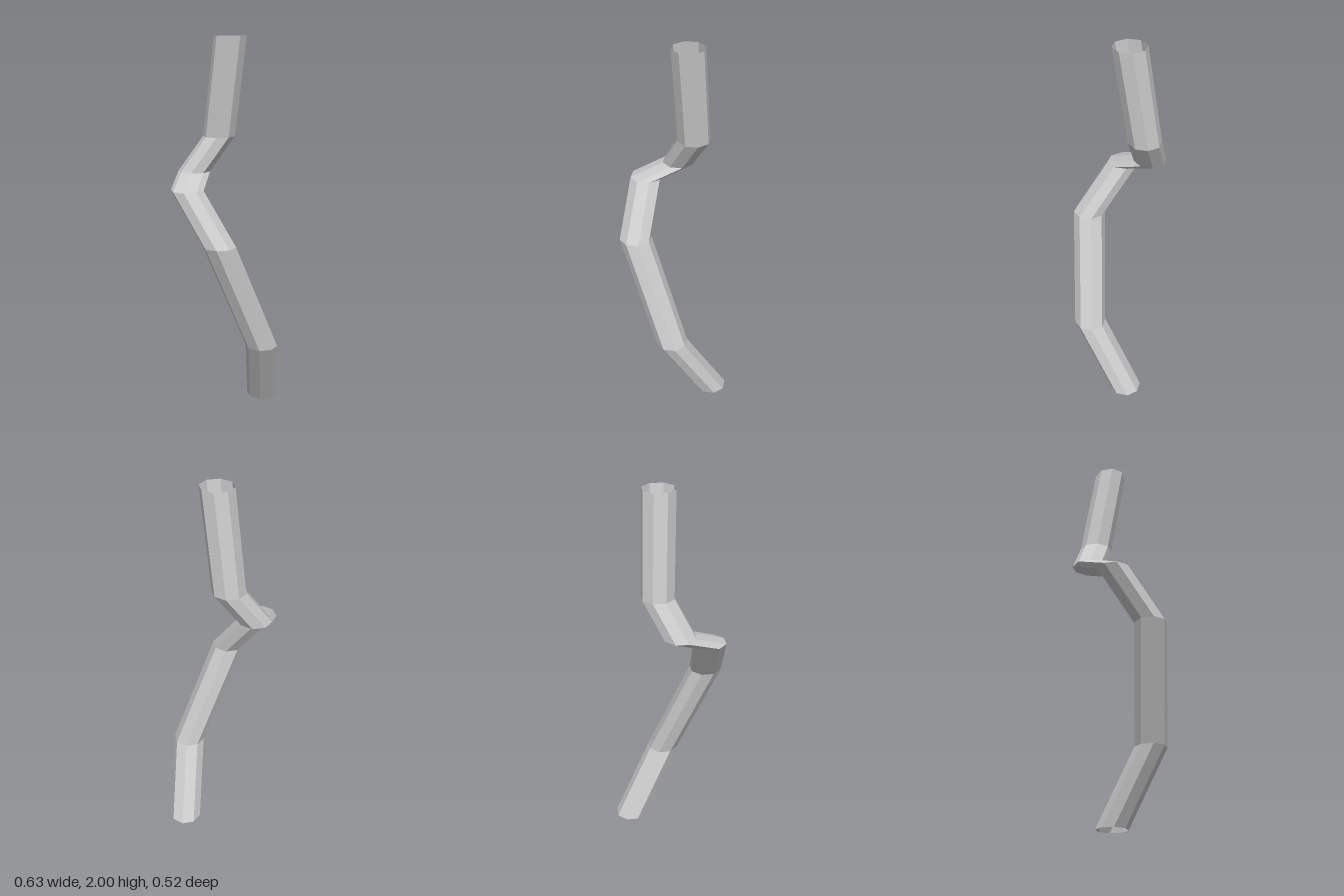
import * as THREE from 'three';

// Centres of the level eight-sided rings, from the top end to the foot
const RINGS = [
  [0.034, 2.0, -0.045],
  [0.021, 1.485, -0.127],
  [-0.105, 1.305, -0.177],
  [-0.23, 1.235, -0.057],
  [-0.17, 0.97, 0.14],
  [0.079, 0.39, 0.175],
  [0.23, 0, -0.004],
];
const RADIUS = 0.085;
const SIDES = 8;

export function createModel() {
  const group = new THREE.Group();
  group.name = 'bentPipe';

  // Open tube whose rows of vertices are slid sideways to the ring centres
  const geometry = new THREE.CylinderGeometry(RADIUS, RADIUS, 2, SIDES, RINGS.length - 1, true);
  const position = geometry.attributes.position;
  for (let i = 0; i < position.count; i++) {
    const [x, y, z] = RINGS[Math.floor(i / (SIDES + 1))];
    position.setXYZ(i, position.getX(i) + x, y, position.getZ(i) + z);
  }
  geometry.computeVertexNormals();

  const material = new THREE.MeshStandardMaterial({
    color: 0xcccccc, flatShading: true, side: THREE.DoubleSide,
  });
  const pipe = new THREE.Mesh(geometry, material);
  pipe.name = 'pipeWall';
  group.add(pipe);
  return group;
}
